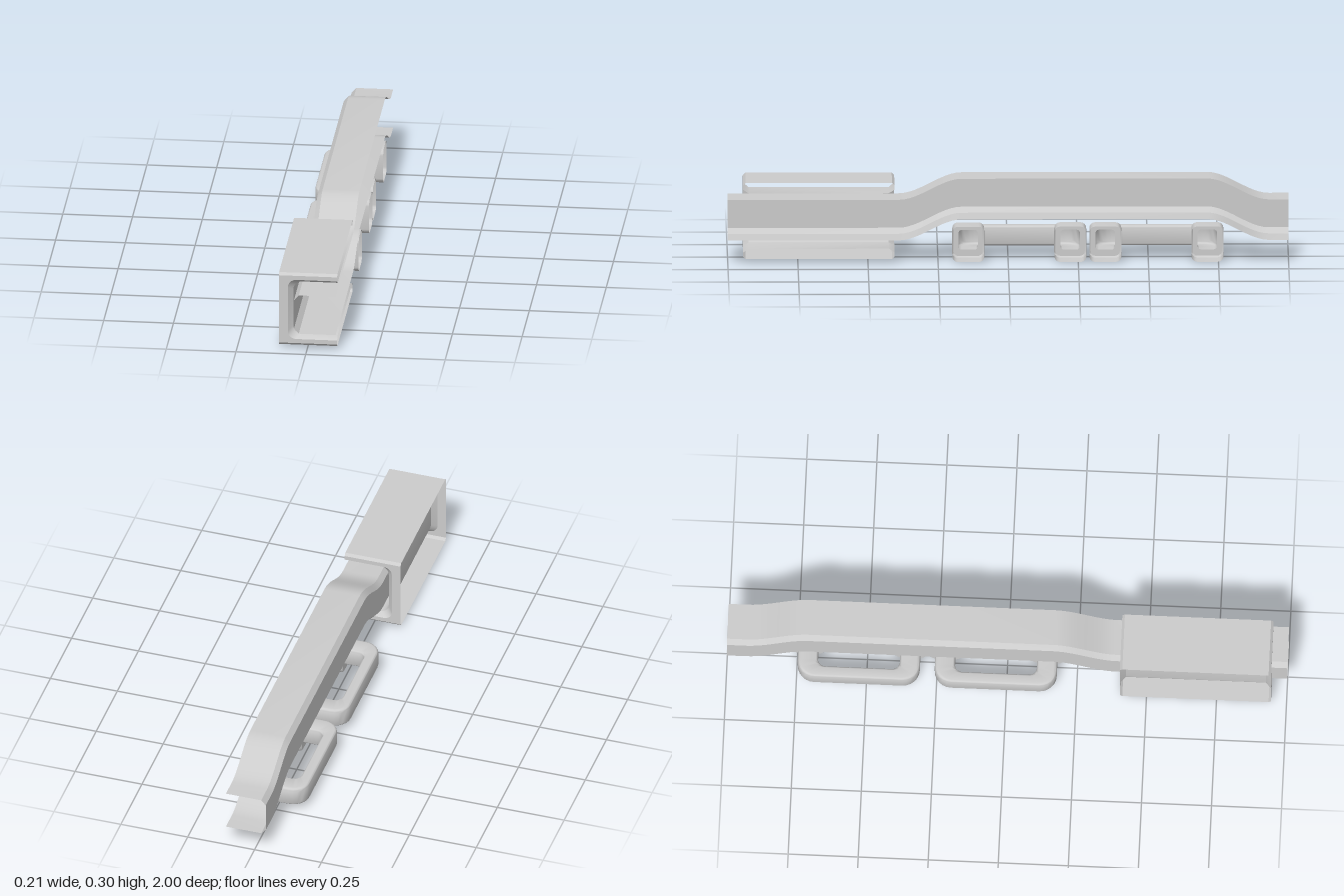
import * as THREE from 'three';
import { toCreasedNormals } from 'three/addons/utils/BufferGeometryUtils.js';

const material = new THREE.MeshStandardMaterial({ color: 0xcccccc, side: THREE.DoubleSide });
const CUT = 0.107; // plane on the +x side where the half-frame ends open

// Skin a row of cross-sections, each an equal-length list of [x, y, z]
function loft(name, rings, closed = false, crease = 0.6) {
  const n = rings[0].length, index = [];
  const spans = closed ? n : n - 1;
  for (let i = 0; i < rings.length - 1; i++) {
    for (let j = 0; j < spans; j++) {
      const a = i * n + j, b = i * n + (j + 1) % n;
      index.push(a, b, a + n, b, b + n, a + n);
    }
  }
  const geometry = new THREE.BufferGeometry();
  geometry.setAttribute('position', new THREE.Float32BufferAttribute(rings.flat(2), 3));
  geometry.setIndex(index);
  const mesh = new THREE.Mesh(toCreasedNormals(geometry, crease), material);
  mesh.name = name;
  return mesh;
}

// Rounded rectangle as [u, v] pairs
function roundRect(hw, hh, r, steps = 4) {
  const points = [];
  [[1, 1], [-1, 1], [-1, -1], [1, -1]].forEach(([su, sv], corner) => {
    for (let k = 0; k <= steps; k++) {
      const a = (corner + k / steps) * Math.PI / 2;
      points.push([su * (hw - r) + r * Math.cos(a), sv * (hh - r) + r * Math.sin(a)]);
    }
  });
  return points;
}

// C-shaped section open toward +x
function cSection(x, low, high, r, z) {
  const points = [[CUT, high, z]], steps = 5;
  for (const top of [true, false]) {
    for (let k = 0; k <= steps; k++) {
      const a = Math.PI / 2 * (top ? 1 + k / steps : 2 + k / steps);
      points.push([x + r + r * Math.cos(a), (top ? high - r : low + r) + r * Math.sin(a), z]);
    }
  }
  points.push([CUT, low, z]);
  return points;
}

// Channel rail, raised through its middle by two S-bends
function rail() {
  const section = [[CUT, 0.226], [-0.025, 0.226], [-0.042, 0.207], [-0.042, 0.098], [-0.025, 0.079], [CUT, 0.079]];
  const stations = [[1, 0]];
  const bend = (z0, z1, up) => {
    for (let k = 0; k <= 12; k++) {
      const t = k / 12, s = THREE.MathUtils.smoothstep(t, 0, 1);
      stations.push([z0 + (z1 - z0) * t, 0.076 * (up ? s : 1 - s)]);
    }
  };
  bend(0.39, 0.165, true);
  bend(-0.71, -0.93, false);
  stations.push([-1, 0]);
  return loft('rail', stations.map(([z, lift]) => section.map(([x, y]) => [x, y + lift, z])));
}

// Sleeve round the front of the rail: outer plates, end frames, flared lining
function sleeve() {
  const group = new THREE.Group();
  group.name = 'sleeve';
  const zMid = 0.675, half = 0.27;
  for (const side of [1, -1]) {
    const y = h => 0.1495 + side * h;
    const profile = [[0.129, half], [0.138, half - 0.009], [0.138, 0.009 - half], [0.129, -half]];
    group.add(loft(side > 0 ? 'topPlate' : 'bottomPlate',
      [-0.102, CUT].map(x => profile.map(([h, z]) => [x, y(h), zMid + z]))));
    const end = zMid + side * half;
    group.add(loft('endFrame', [
      cSection(-0.102, 0.0205, 0.2785, 0.0005, end),
      cSection(-0.07, 0.036, 0.263, 0.03, end),
    ]));
  }
  const ends = [[-0.07, 0.036, 0.263, 0.03, half], [-0.052, 0.049, 0.25, 0.032, half - 0.02]];
  const lining = [...ends, ...ends.map(([x, l, h, r, z]) => [x, l, h, r, -z]).reverse()];
  group.add(loft('lining', lining.map(([x, l, h, r, z]) => cSection(x, l, h, r, zMid + z))));
  return group;
}

// Rounded bracket handle with its two square sockets
function handle(zMid) {
  const group = new THREE.Group();
  group.name = 'handle';
  group.position.set(0, 0.064, zMid);

  // Matching outer and inner outline points as [x, z]
  const pairs = [[[0.013, 0.218], [0.013, 0.146]]];
  for (let k = 0; k <= 6; k++) {
    const c = Math.cos(k * Math.PI / 12), s = Math.sin(k * Math.PI / 12);
    pairs.push([[-0.047 - 0.06 * s, 0.158 + 0.06 * c], [-0.037 - 0.028 * s, 0.118 + 0.028 * c]]);
  }
  pairs.push(...pairs.map(pair => pair.map(([x, z]) => [x, -z])).reverse());
  const barSection = roundRect(1, 1, 0.35);
  group.add(loft('bar', pairs.map(([o, i]) => barSection.map(([u, v]) => {
    const t = (u + 1) / 2;
    return [i[0] + (o[0] - i[0]) * t, v * 0.036, i[1] + (o[1] - i[1]) * t];
  })), true, 0.7));

  // Sockets: open at the cut, closed round the bar
  const steps = [[CUT, 0.058, 0.02], [0.018, 0.058, 0.02], [0.013, 0.053, 0.018], [0.013, 0.036, 0.0126]];
  for (const side of [1, -1]) {
    const socket = loft('socket', steps.map(([x, h, r]) =>
      roundRect(h - 0.001, h + 0.006 * (h > 0.04), r).map(([u, v]) => [x, v, u])), true);
    socket.position.z = side * 0.182;
    group.add(socket);
  }
  return group;
}

export function createModel() {
  const model = new THREE.Group();
  model.name = 'frameRail';
  model.add(rail(), sleeve(), handle(-0.04), handle(-0.529));
  return model;
}
